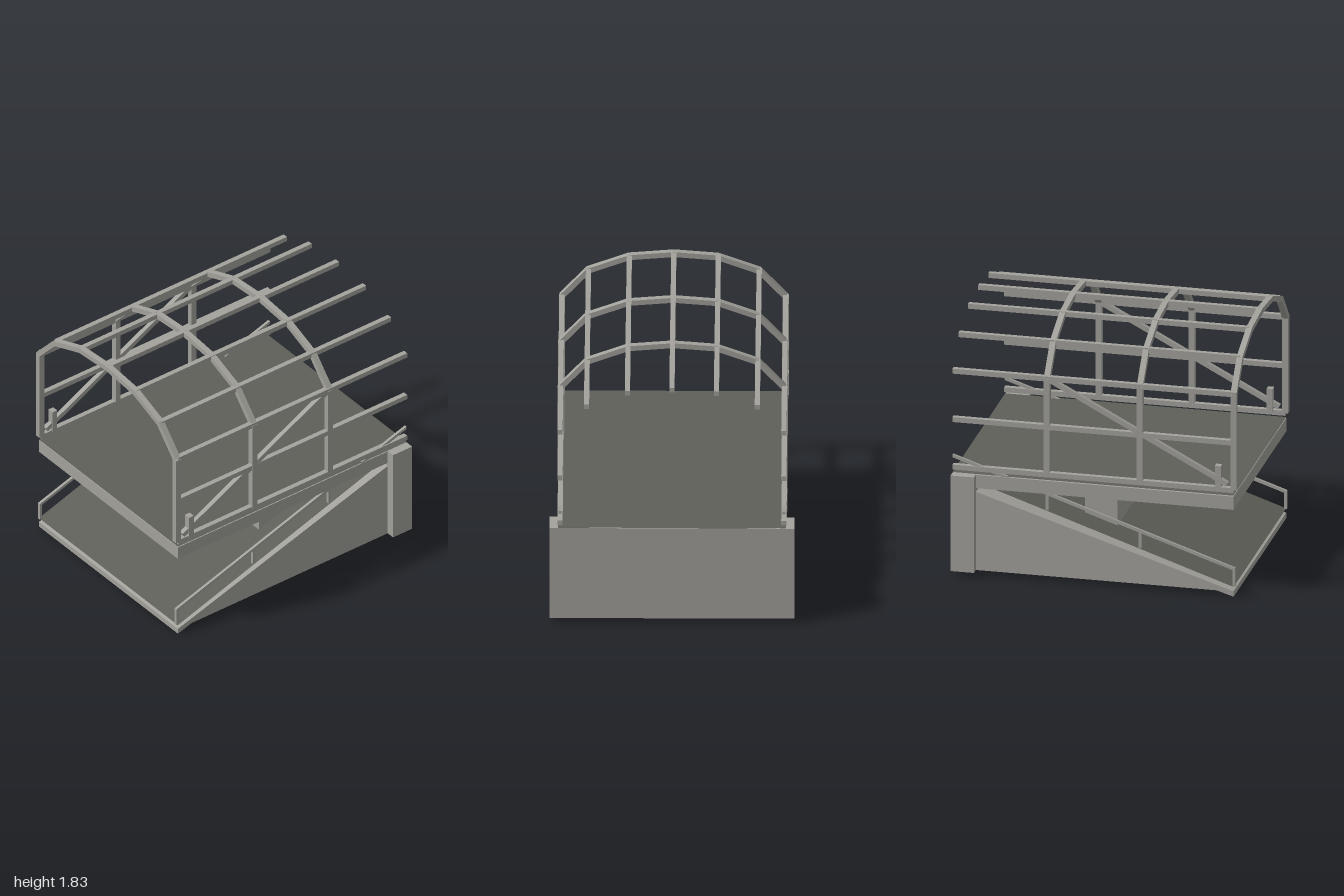
import * as THREE from 'three';

export function createModel() {
  const model = new THREE.Group();
  model.name = 'coveredRampPlatform';
  const concrete = new THREE.MeshStandardMaterial({ color: 0xa3a29c });
  concrete.name = 'light grey';
  const surface = new THREE.MeshStandardMaterial({ color: 0x5e5f58, side: THREE.DoubleSide });
  surface.name = 'dark grey';

  const add = (name, geometry, material = concrete, parent = model) => {
    const mesh = new THREE.Mesh(geometry, material);
    mesh.name = name;
    parent.add(mesh);
    return mesh;
  };
  // Box given by its minimum and maximum corners
  const box = (name, x0, x1, y0, y1, z0, z1, parent) => {
    const mesh = add(name, new THREE.BoxGeometry(x1 - x0, y1 - y0, z1 - z0), concrete, parent);
    mesh.position.set((x0 + x1) / 2, (y0 + y1) / 2, (z0 + z1) / 2);
    return mesh;
  };
  // Side profile in x, y extruded across z between z0 and z1
  const prism = (name, points, z0, z1, parent) => {
    const shape = new THREE.Shape(points.map(([x, y]) => new THREE.Vector2(x, y)));
    const geometry = new THREE.ExtrudeGeometry(shape, { depth: z1 - z0, bevelEnabled: false });
    geometry.translate(0, 0, z0);
    return add(name, geometry, concrete, parent);
  };
  // Thin sheet across the width, from (x0, y0) to (x1, y1)
  const sheet = (name, x0, y0, x1, y1, halfWidth) => {
    const geometry = new THREE.PlaneGeometry(Math.hypot(x1 - x0, y1 - y0), halfWidth * 2);
    geometry.rotateX(-Math.PI / 2);
    geometry.rotateZ(Math.atan2(y1 - y0, x1 - x0));
    geometry.translate((x0 + x1) / 2, (y0 + y1) / 2, 0);
    return add(name, geometry, surface);
  };

  // Solid base: ramp wedge, end block, middle pillar and upper deck
  prism('rampWedge', [[-0.98, 0.008], [-0.86, 0.045], [0.84, 0.045], [0.84, 0.62], [-0.98, 0.048]], -0.78, 0.78);
  box('endBlock', 0.835, 1, 0.045, 0.745, -0.84, 0.84);
  box('pillar', -0.11, 0.12, 0.2, 0.742, -0.56, 0.56);
  box('deck', -0.98, 0.99, 0.645, 0.742, -0.78, 0.78);

  // Dark walking surfaces
  sheet('deckSurface', -0.98, 0.749, 1, 0.749, 0.78);
  sheet('rampSurface', -0.98, 0.08, 1, 0.747, 0.78);

  const frameX = [-0.98, -0.32, 0.335];
  const edge = 0.767;
  const half = 0.019;

  for (const side of [1, -1]) {
    const z = side * edge;

    // Sloping handrail with short posts
    const handrail = new THREE.Group();
    handrail.name = side > 0 ? 'frontHandrail' : 'backHandrail';
    model.add(handrail);
    const railTop = (x) => 0.22 + (x + 0.98) * 0.332;
    prism('handrailBar', [[-0.99, railTop(-0.99) - 0.022], [1, railTop(1) - 0.022],
      [1, railTop(1)], [-0.99, railTop(-0.99)]], z - 0.01, z + 0.01, handrail);
    for (const x of frameX) {
      const foot = 0.083 + (x + 0.98) * 0.337;
      box('handrailPost', x - 0.01, x + 0.01, foot, railTop(x) - 0.01, z - 0.01, z + 0.01, handrail);
    }

    // Side wall frame
    const wall = new THREE.Group();
    wall.name = side > 0 ? 'frontWallFrame' : 'backWallFrame';
    model.add(wall);
    for (const y of [0.787, 1.135, 1.49]) {
      box('wallRail', -0.98, 1, y - 0.018, y + 0.018, z - 0.018, z + 0.018, wall);
    }
    for (const x of frameX) {
      box('wallPost', x - 0.021, x + 0.021, 0.79, 1.49, z - 0.021, z + 0.021, wall);
    }
    box('shortPost', -0.892, -0.85, 0.79, 0.96, z - 0.023, z + 0.023, wall);
    const brace = box('diagonalBrace', -0.715, 0.715, -0.017, 0.017, -0.017, 0.017, wall);
    brace.position.set(-0.3, 1.158, z);
    brace.rotation.z = Math.atan2(0.66, 1.26);
  }

  // Faceted roof: lengthwise bars at the arch corners
  const arch = [[-edge, 1.49], [-0.585, 1.69], [-0.305, 1.795], [0, 1.82],
    [0.305, 1.795], [0.585, 1.69], [edge, 1.49]];
  for (const [z, y] of arch.slice(1, -1)) {
    box('roofBar', -0.98, 1, y - 0.018, y + 0.018, z - 0.018, z + 0.018);
  }
  // Three arches of straight segments
  for (const x of frameX) {
    const rib = new THREE.Group();
    rib.name = 'roofArch';
    model.add(rib);
    for (let i = 0; i < arch.length - 1; i++) {
      const [z0, y0] = arch[i], [z1, y1] = arch[i + 1];
      const length = Math.hypot(z1 - z0, y1 - y0) + 0.008;
      const segment = add('archSegment', new THREE.BoxGeometry(0.042, half * 2, length), concrete, rib);
      segment.position.set(x, (y0 + y1) / 2, (z0 + z1) / 2);
      segment.rotation.x = -Math.atan2(y1 - y0, z1 - z0);
    }
  }
  return model;
}
